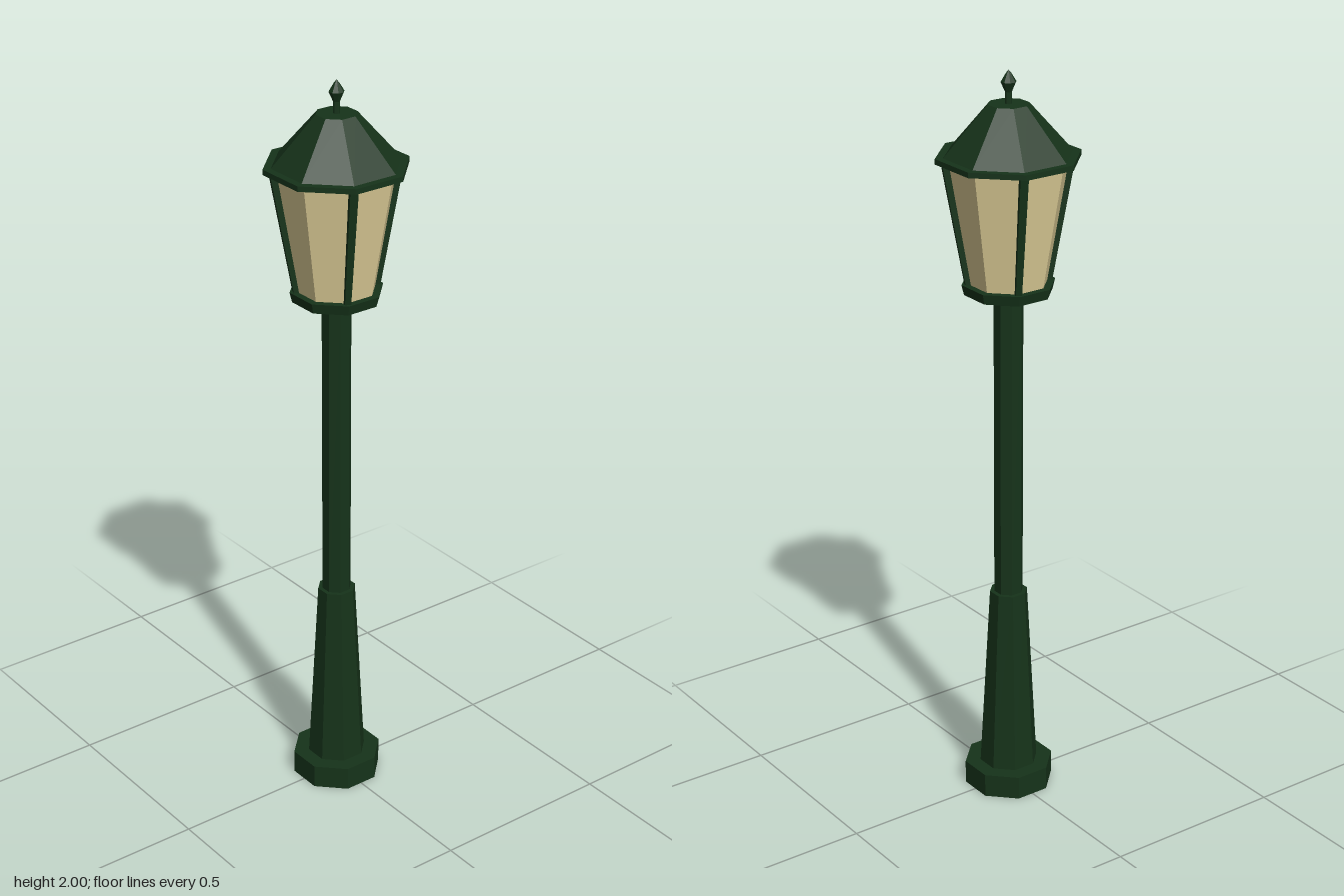
import * as THREE from 'three';

const SIDES = 8;
const FLAT = Math.cos(Math.PI / SIDES); // flat-to-centre distance over corner radius

const green = new THREE.MeshStandardMaterial({ color: 0x16331a, flatShading: true });
const glass = new THREE.MeshStandardMaterial({ color: 0xdfcf98, flatShading: true });

// Octagonal frustum with flats facing the axes; half-widths measured across flats
function octagon(name, y0, y1, half0, half1, material = green) {
  const geometry = new THREE.CylinderGeometry(half1 / FLAT, half0 / FLAT, y1 - y0, SIDES);
  geometry.rotateY(Math.PI / SIDES);
  geometry.translate(0, (y0 + y1) / 2, 0);
  const mesh = new THREE.Mesh(geometry, material);
  mesh.name = name;
  return mesh;
}

// Leaning, tapering bar that follows a corner of the lantern
function cornerPost(y0, y1, r0, r1, w0, w1) {
  const geometry = new THREE.BoxGeometry(1, 1, 1);
  const p = geometry.attributes.position;
  for (let i = 0; i < p.count; i++) {
    const t = p.getY(i) + 0.5;
    const w = THREE.MathUtils.lerp(w0, w1, t);
    p.setXYZ(i, p.getX(i) * w, THREE.MathUtils.lerp(y0, y1, t),
      THREE.MathUtils.lerp(r0, r1, t) + p.getZ(i) * w);
  }
  geometry.computeVertexNormals();
  return new THREE.Mesh(geometry, green);
}

export function createModel() {
  const model = new THREE.Group();
  model.name = 'streetLamp';

  // Foot and column
  model.add(
    octagon('foot', 0, 0.065, 0.112, 0.112),
    octagon('plinth', 0.065, 0.58, 0.073, 0.047),
    octagon('pole', 0.58, 1.41, 0.036, 0.036),
  );

  // Lantern body
  const lantern = new THREE.Group();
  lantern.name = 'lantern';
  lantern.add(
    octagon('collar', 1.408, 1.425, 0.062, 0.066),
    octagon('lanternBase', 1.425, 1.452, 0.107, 0.113),
    octagon('glassPanes', 1.452, 1.772, 0.095, 0.146, glass),
    octagon('eave', 1.772, 1.786, 0.173, 0.173),
    octagon('roof', 1.786, 1.915, 0.154, 0.049),
  );

  // Posts on every second corner
  for (let i = 0; i < 4; i++) {
    const post = cornerPost(1.452, 1.772, 0.105, 0.16, 0.016, 0.021);
    post.rotation.y = -Math.PI / 8 + i * Math.PI / 2;
    post.name = 'cornerPost' + (i + 1);
    lantern.add(post);
  }
  model.add(lantern);

  // Finial: thin stem and pointed bulb
  const profile = [[0.009, 1.915], [0.009, 1.945], [0.02, 1.97], [0.008, 1.99], [0, 2]]
    .map(([r, y]) => new THREE.Vector2(r, y));
  const finial = new THREE.Mesh(new THREE.LatheGeometry(profile, SIDES, Math.PI / SIDES), green);
  finial.name = 'finial';
  model.add(finial);

  return model;
}
